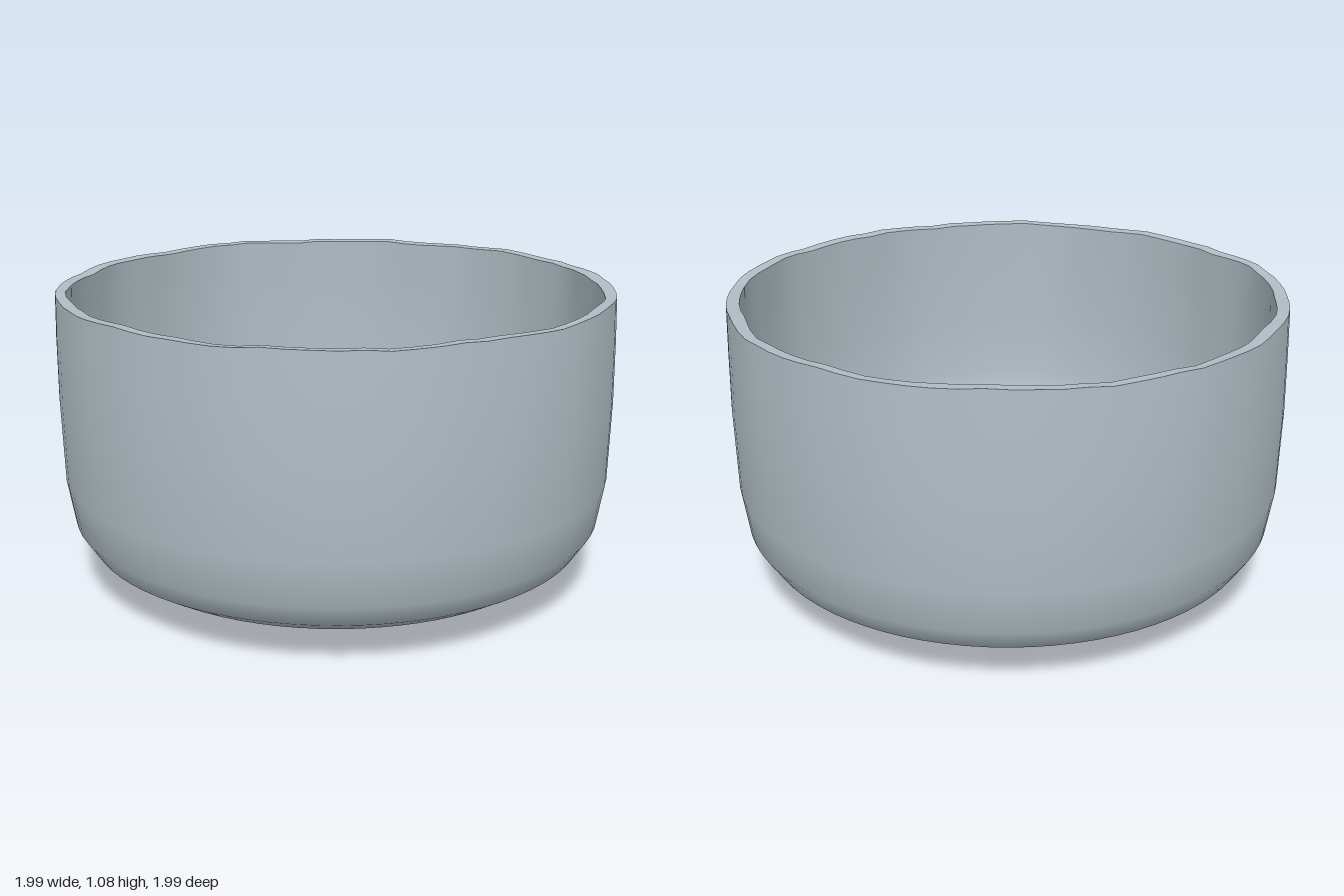
import * as THREE from 'three';

const DRAIN_Z = -0.45;

// Small uneven dents of the hand-made wall
const wobble = (a) => 0.5 * Math.sin(5 * a + 0.6) + 0.3 * Math.sin(11 * a + 2) + 0.2 * Math.sin(19 * a);

// Skin over circular rings [radius, y, centre z, radial wobble, height wobble];
// rings run upward on outer faces and downward on inner faces
function loft(rings, segments) {
  const positions = [];
  const index = [];
  rings.forEach(([r, y, cz = 0, wr = 0, wy = 0], j) => {
    for (let i = 0; i < segments; i++) {
      const a = (i / segments) * Math.PI * 2;
      const radius = r + wr * wobble(a);
      positions.push(radius * Math.sin(a), y + wy * wobble(a * 2 + 1), cz + radius * Math.cos(a));
      if (j === rings.length - 1) continue;
      const p = j * segments + i;
      const q = j * segments + ((i + 1) % segments);
      // Skip the collapsed half of a quad at a centre point
      if (r > 0) index.push(p, q, q + segments);
      if (rings[j + 1][0] > 0) index.push(p, q + segments, p + segments);
      else if (r === 0) index.push(p, q, q + segments);
    }
  });
  // Fill the triangles fanning out of a centre point
  const geometry = new THREE.BufferGeometry();
  geometry.setAttribute('position', new THREE.Float32BufferAttribute(positions, 3));
  geometry.setIndex(index);
  geometry.computeVertexNormals();
  return geometry;
}

export function createModel() {
  const model = new THREE.Group();
  const glaze = new THREE.MeshStandardMaterial({ color: 0xb0bec5 });
  glaze.name = 'paleGreyBlue';

  const add = (name, rings, segments, flat = false) => {
    let geometry = loft(rings, segments);
    if (flat) {
      geometry = geometry.toNonIndexed();
      geometry.computeVertexNormals();
    }
    const mesh = new THREE.Mesh(geometry, glaze);
    mesh.name = name;
    model.add(mesh);
  };

  const outerRim = [0.987, 1.075, 0, 0.006, 0.006];
  const innerRim = [0.945, 1.072, 0, 0.014, 0.006];

  // Underside spreading from the drain, rounded heel and outer wall
  add('outerWall', [
    [0.16, 0.065, DRAIN_Z], [0.24, 0.07, -0.4], [0.45, 0.07, -0.2], [0.6, 0.073],
    [0.7, 0.083], [0.83, 0.115], [0.91, 0.165], [0.965, 0.25], [0.99, 0.41, 0, 0.003],
    [0.996, 0.7, 0, 0.004], [0.992, 0.92, 0, 0.006], outerRim,
  ], 80);

  // Narrow uneven lip
  add('rim', [outerRim, innerRim], 80);

  // Inner wall curving into the floor around the drain
  add('innerWall', [
    innerRim, [0.95, 0.9, 0, 0.01], [0.953, 0.65, 0, 0.006], [0.945, 0.42, 0, 0.004],
    [0.92, 0.28], [0.87, 0.2], [0.8, 0.15], [0.7, 0.122], [0.58, 0.113],
    [0.42, 0.11, -0.18], [0.22, 0.106, -0.4], [0.11, 0.1, DRAIN_Z],
  ], 80);

  // Faceted drain boss under the floor
  add('drainBoss', [
    [0, 0, DRAIN_Z], [0.145, 0.005, DRAIN_Z], [0.167, 0.03, DRAIN_Z], [0.172, 0.075, DRAIN_Z],
  ], 11, true);

  // Shallow drain well inside
  add('drainWell', [
    [0.115, 0.104, DRAIN_Z], [0.108, 0.03, DRAIN_Z], [0, 0.028, DRAIN_Z],
  ], 11, true);

  return model;
}
